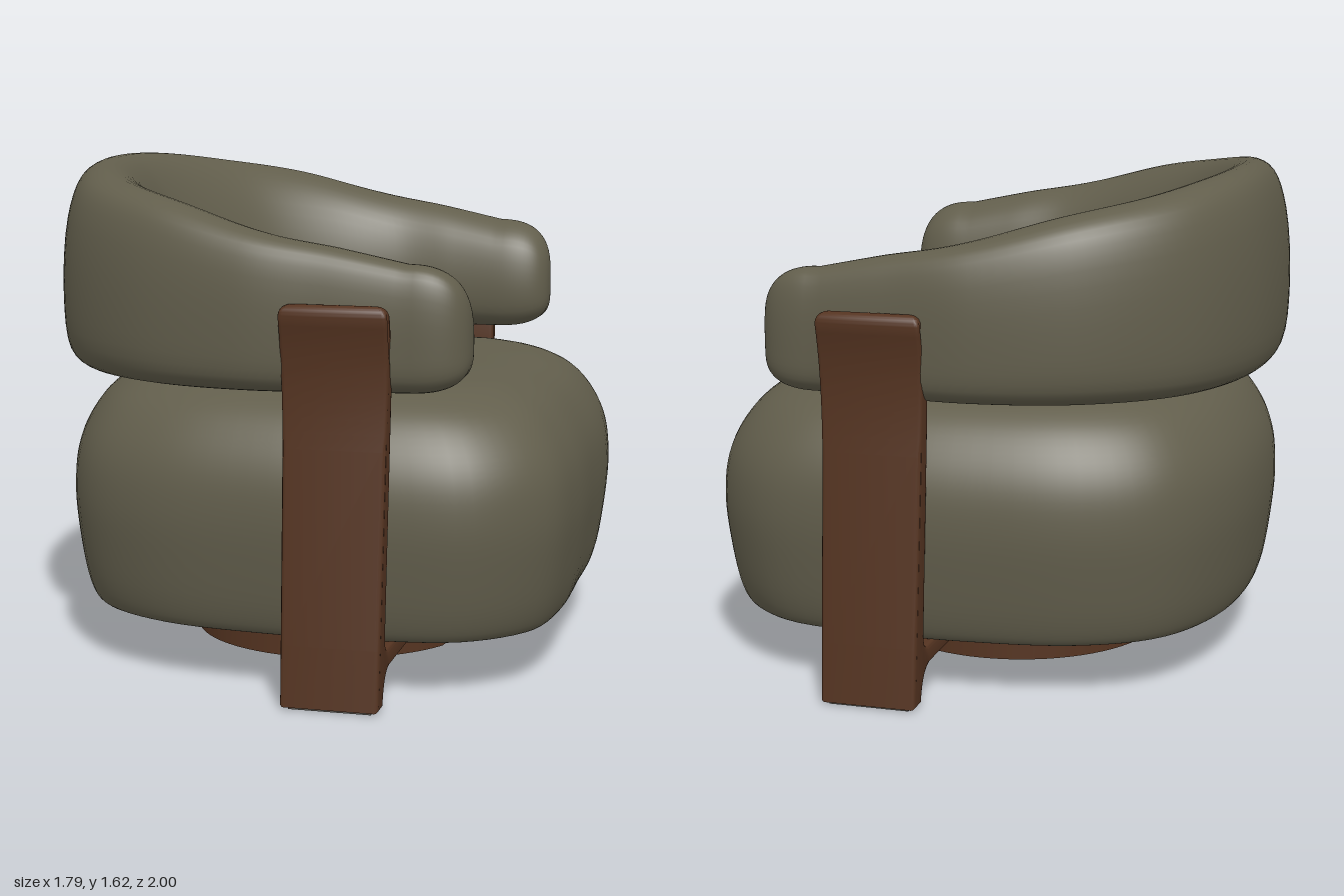
import * as THREE from 'three';
import { toCreasedNormals } from 'three/addons/utils/BufferGeometryUtils.js';

const fabric = new THREE.MeshStandardMaterial({ name: 'olive fabric', color: 0x625e4c });
const wood = new THREE.MeshStandardMaterial({ name: 'walnut wood', color: 0x553421 });
const felt = new THREE.MeshStandardMaterial({ name: 'grey felt', color: 0x55524c });

function addMesh(parent, name, geometry, material) {
  const mesh = new THREE.Mesh(geometry, material);
  mesh.name = name;
  parent.add(mesh);
  return mesh;
}

// Smooth curve through flat [x, y] pairs, sampled evenly by parameter
function smooth(points, count, closed = false) {
  const curve = new THREE.CatmullRomCurve3(points.map(([x, y]) => new THREE.Vector3(x, y, 0)), closed);
  const n = closed ? count : count - 1;
  return Array.from({ length: count }, (_, i) => curve.getPoint(i / n));
}

// Smooth skin over closed rings of equal length, facing outward
function loft(rings) {
  const n = rings[0].length;
  const pos = rings.flat().flatMap((p) => [p.x, p.y, p.z]);
  const index = [];
  let volume = 0;
  for (let r = 0; r < rings.length - 1; r++) {
    for (let i = 0; i < n; i++) {
      const j = (i + 1) % n;
      const a = rings[r][i], b = rings[r][j], c = rings[r + 1][i], d = rings[r + 1][j];
      volume += a.dot(b.clone().cross(c)) + b.dot(d.clone().cross(c));
      index.push(r * n + i, r * n + j, (r + 1) * n + i);
      index.push(r * n + j, (r + 1) * n + j, (r + 1) * n + i);
    }
  }
  if (volume < 0) index.reverse();
  const g = new THREE.BufferGeometry();
  g.setAttribute('position', new THREE.Float32BufferAttribute(pos, 3));
  g.setIndex(index);
  g.computeVertexNormals();
  return g;
}

// Plump cushion: one plan outline scaled along a side profile
function seatGeometry() {
  const half = [[0.89, 0], [0.885, 0.38], [0.83, 0.64], [0.63, 0.825], [0.3, 0.88],
    [-0.05, 0.88], [-0.42, 0.82], [-0.67, 0.67], [-0.81, 0.4], [-0.86, 0]];
  const mirrored = half.slice(1, -1).reverse().map(([x, z]) => [x, -z]);
  const plan = smooth([...half, ...mirrored], 96, true);
  const profile = smooth([[0.001, 0.175], [0.5, 0.175], [0.88, 0.175], [0.925, 0.185], [0.955, 0.24],
    [0.987, 0.4], [1, 0.55], [0.985, 0.68], [0.94, 0.78], [0.86, 0.87],
    [0.74, 0.93], [0.6, 0.953], [0.3, 0.968], [0.001, 0.972]], 60);
  return loft(profile.map((s) => plan.map((p) => new THREE.Vector3(p.x * s.x, s.y, p.y * s.x))));
}

// Horseshoe backrest: section swept between an inner and an outer plan curve
function backrestGeometry() {
  const both = (half, sign) => [
    ...half.slice(1).reverse().map(([a, b]) => [a, sign * b]), ...half];
  const outer = smooth(both([[-0.895, 0], [-0.855, 0.35], [-0.72, 0.64], [-0.45, 0.85],
    [-0.1, 0.937], [0.18, 0.922], [0.42, 0.9]], -1), 97);
  const inner = smooth(both([[-0.51, 0], [-0.46, 0.24], [-0.33, 0.45], [-0.14, 0.59],
    [0.06, 0.65], [0.25, 0.655], [0.42, 0.655]], -1), 97);
  const tops = smooth(both([[0, 1.622], [1, 1.61], [2, 1.575], [3, 1.525],
    [4, 1.445], [5, 1.4], [6, 1.355]], 1), 97);
  // Section points: across 0 (inner) to 1 (outer), height 0 to 1
  const backSection = smooth([[0.24, 0.01], [0.5, 0], [0.82, 0], [0.95, 0.08], [1, 0.35], [0.95, 0.75],
    [0.84, 0.94], [0.67, 1], [0.47, 0.95], [0.24, 0.75], [0.05, 0.45], [0.02, 0.16]], 48, true);
  const armSection = smooth([[0.24, 0.01], [0.5, 0], [0.8, 0], [0.96, 0.1], [1, 0.35], [0.98, 0.75],
    [0.88, 0.94], [0.65, 1], [0.36, 0.94], [0.12, 0.78], [0.0, 0.45], [0.04, 0.14]], 48, true);

  const rings = outer.map((o, k) => {
    const arm = Math.abs(k - 48) / 48;
    const base = 0.955 + 0.015 * arm;
    return backSection.map((b, i) => {
      const s = b.clone().lerp(armSection[i], arm);
      const p = inner[k].clone().lerp(o, s.x);
      return new THREE.Vector3(p.x, base + (tops[k].y - base) * s.y, p.y);
    });
  });

  // Rounded arm ends
  const cap = (ring) => {
    const midZ = Math.sign(ring[0].z) * 0.768, midY = 1.11;
    return Array.from({ length: 16 }, (_, i) => {
      const a = ((i + 1) / 16) * Math.PI / 2;
      const c = Math.max(0.0005, Math.cos(a));
      return ring.map((p) => new THREE.Vector3(
        p.x + 0.19 * Math.sin(a) ** 0.85,
        midY + (p.y - midY) * c ** 0.58,
        midZ + (p.z - midZ) * c ** 0.72,
      ));
    });
  };
  return loft([...cap(rings[0]).reverse(), ...rings, ...cap(rings[96])]);
}

// Side frame: curved upright, foot and inward bar cut from one board
function frameGeometry() {
  const s = new THREE.Shape();
  s.moveTo(1.0, 0.008);
  s.lineTo(0.988, 0.2);
  s.lineTo(0.938, 0.8);
  s.bezierCurveTo(0.92, 1.0, 0.935, 1.1, 0.962, 1.2);
  s.quadraticCurveTo(0.965, 1.24, 0.935, 1.24);
  s.quadraticCurveTo(0.91, 1.24, 0.905, 1.2);
  s.bezierCurveTo(0.88, 1.1, 0.86, 1.02, 0.862, 0.88);
  s.lineTo(0.895, 0.22);
  s.quadraticCurveTo(0.895, 0.175, 0.85, 0.175);
  s.lineTo(0.25, 0.175);
  s.lineTo(0.25, 0.113);
  s.lineTo(0.84, 0.113);
  s.quadraticCurveTo(0.91, 0.105, 0.927, 0.008);
  s.closePath();
  const g = new THREE.ExtrudeGeometry(s, {
    depth: 0.276, bevelThickness: 0.012, bevelSize: 0.012, bevelOffset: -0.012,
    bevelSegments: 3, curveSegments: 12,
  });
  g.translate(0, 0, -0.138).rotateY(-Math.PI / 2);
  // Widen gently towards the top, then round the top corners
  const p = g.attributes.position;
  for (let i = 0; i < p.count; i++) {
    const y = p.getY(i);
    const t = THREE.MathUtils.clamp((y - 1.2) / 0.04, 0, 1);
    const corner = 0.2 * (1 - Math.sqrt(1 - t * t));
    p.setX(i, p.getX(i) * (1.03 + 0.09 * THREE.MathUtils.smoothstep(y, 0.5, 1.2) - corner));
  }
  return toCreasedNormals(g, 0.6);
}

// Round plinth with a flat cut across its +x side
function plinthGeometry() {
  const g = new THREE.CylinderGeometry(0.485, 0.485, 0.16, 72);
  const p = g.attributes.position;
  for (let i = 0; i < p.count; i++) p.setX(i, Math.min(p.getX(i), 0.425));
  return toCreasedNormals(g, 0.3);
}

export function createModel() {
  const chair = new THREE.Group();
  chair.name = 'armchair';

  addMesh(chair, 'seatCushion', seatGeometry(), fabric);
  addMesh(chair, 'backrest', backrestGeometry(), fabric);
  addMesh(chair, 'plinth', plinthGeometry(), wood).position.y = 0.095;

  // Matching frames on both sides
  const frameShape = frameGeometry();
  for (const side of [1, -1]) {
    const frame = new THREE.Group();
    frame.name = side > 0 ? 'leftFrame' : 'rightFrame';
    frame.position.x = 0.218;
    frame.rotation.y = side > 0 ? 0 : Math.PI;
    addMesh(frame, 'upright', frameShape, wood);
    const pad = addMesh(frame, 'footPad', new THREE.BoxGeometry(0.26, 0.009, 0.05), felt);
    pad.position.set(0, 0.0045, 0.963);
    chair.add(frame);
  }
  return chair;
}
